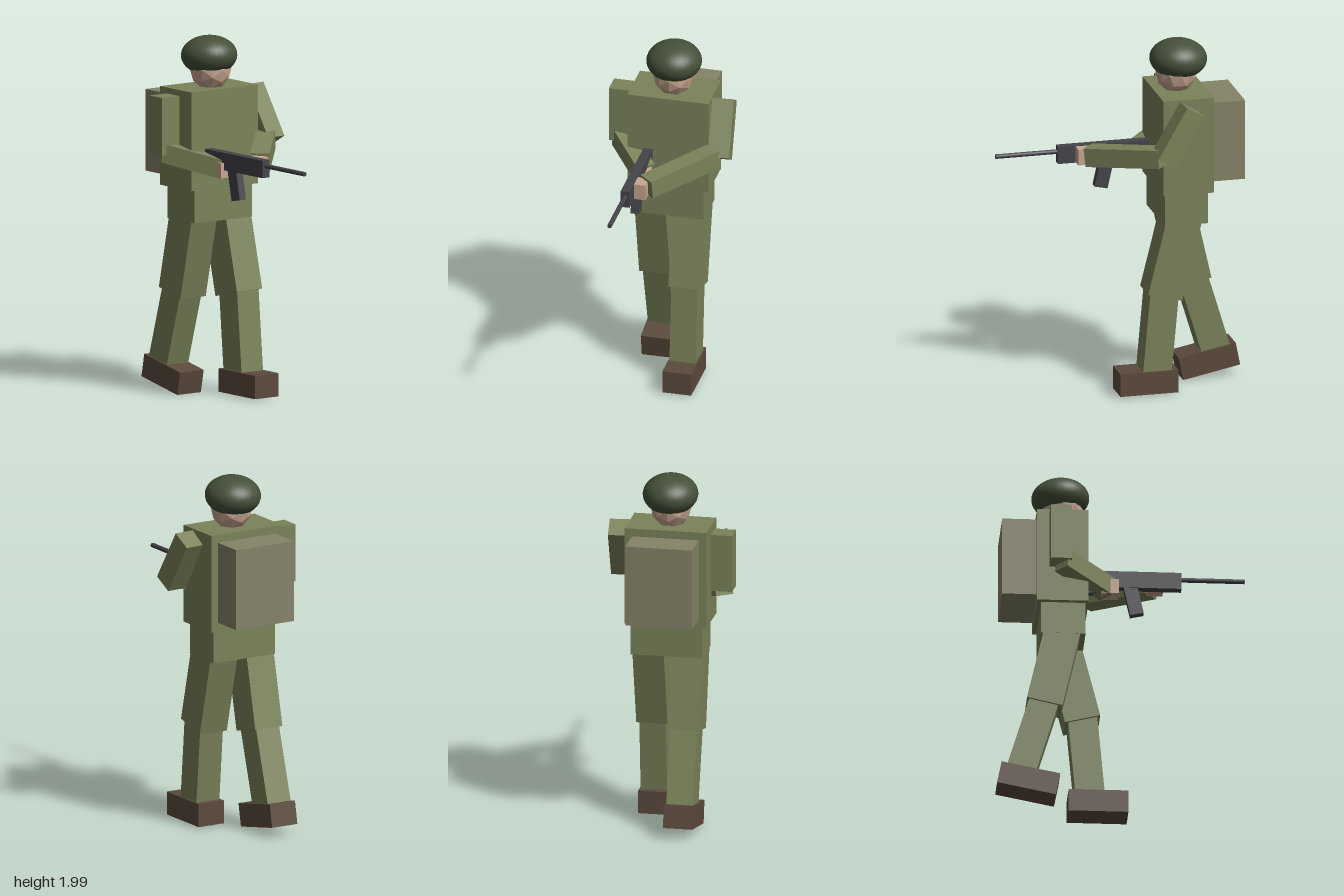
import * as THREE from 'three';

const mat = (color, extra = {}) => new THREE.MeshStandardMaterial({ color, ...extra });

export function createModel() {
  const model = new THREE.Group();
  const cloth = mat(0x7b835a), canvas = mat(0x858368), leather = mat(0x5c4a3d);
  const skin = mat(0xc8a690, { flatShading: true }), metal = mat(0x44444a);
  const shell = mat(0x455039, { side: THREE.DoubleSide });

  const add = (parent, name, geometry, material, pos = [0, 0, 0]) => {
    const mesh = new THREE.Mesh(geometry, material);
    mesh.name = name;
    mesh.position.set(...pos);
    parent.add(mesh);
    return mesh;
  };
  const box = (parent, name, size, pos, material) =>
    add(parent, name, new THREE.BoxGeometry(...size), material, pos);

  // Box running from one joint to another, with its width kept horizontal
  const limb = (parent, name, from, to, width, depth, material) => {
    const a = new THREE.Vector3(...from), b = new THREE.Vector3(...to);
    const y = a.clone().sub(b), length = y.length();
    y.normalize();
    const x = new THREE.Vector3().crossVectors(y, new THREE.Vector3(0, 1, 0)).normalize();
    const z = new THREE.Vector3().crossVectors(x, y);
    const mesh = box(parent, name, [width, length, depth], [0, 0, 0], material);
    mesh.quaternion.setFromRotationMatrix(new THREE.Matrix4().makeBasis(x, y, z));
    mesh.position.copy(a.add(b).multiplyScalar(0.5));
    return mesh;
  };
  const group = (name) => {
    const g = new THREE.Group();
    g.name = name;
    model.add(g);
    return g;
  };

  // Body
  box(model, 'torso', [0.46, 0.55, 0.285], [0, 1.445, -0.325], cloth);
  box(model, 'pelvis', [0.4, 0.19, 0.245], [0, 1.08, -0.32], cloth);
  box(model, 'backpack', [0.375, 0.455, 0.2], [0, 1.448, -0.557], canvas);

  // Head and helmet
  const head = add(model, 'head', new THREE.IcosahedronGeometry(0.12, 1), skin, [0, 1.82, -0.312]);
  head.scale.set(0.97, 1.08, 0.97);
  const helmet = add(model, 'helmet',
    new THREE.SphereGeometry(1, 32, 20, 0, Math.PI * 2, 0, Math.PI * 0.745), shell, [0, 1.89, -0.325]);
  helmet.scale.set(0.153, 0.11, 0.16);
  helmet.rotation.x = -0.05;

  // Legs in mid stride, left forward and right back
  const strides = [
    { name: 'leftLeg', x: 0.11, knee: [0.571, -0.2], ankle: [0.1, -0.156], foot: [0.08, -0.112], tilt: 0 },
    { name: 'rightLeg', x: -0.111, knee: [0.569, -0.423], ankle: [0.14, -0.558], foot: [0.103, -0.511], tilt: 0.195 },
  ];
  for (const { name, x, knee, ankle, foot, tilt } of strides) {
    const leg = group(name);
    limb(leg, 'thigh', [x, 1.04, -0.317], [x, ...knee], 0.176, 0.2, cloth);
    limb(leg, 'shin', [x, knee[0] + 0.02, knee[1]], [x, ...ankle], 0.149, 0.163, cloth);
    box(leg, 'boot', [0.164, 0.13, 0.33], [x, ...foot], leather).rotation.x = tilt;
  }

  // Left arm reaching across to support the barrel end
  const leftArm = group('leftArm');
  limb(leftArm, 'upperArm', [0.284, 1.68, -0.333], [0.299, 1.4, -0.164], 0.12, 0.12, cloth);
  limb(leftArm, 'forearm', [0.27, 1.412, -0.165], [-0.03, 1.357, 0.175], 0.106, 0.105, cloth);
  box(leftArm, 'hand', [0.075, 0.09, 0.09], [-0.058, 1.35, 0.192], skin);

  // Right arm holding the grip
  const rightArm = group('rightArm');
  box(rightArm, 'upperArm', [0.12, 0.323, 0.118], [-0.3, 1.528, -0.341], cloth);
  limb(rightArm, 'forearm', [-0.3, 1.378, -0.33], [-0.1, 1.302, -0.07], 0.106, 0.105, cloth);
  box(rightArm, 'hand', [0.092, 0.085, 0.098], [-0.112, 1.298, -0.06], skin);

  // Rifle
  const rifle = group('rifle');
  box(rifle, 'receiver', [0.051, 0.097, 0.52], [-0.112, 1.349, 0.075], metal);
  box(rifle, 'stock', [0.045, 0.1, 0.09], [-0.112, 1.315, -0.175], metal);
  limb(rifle, 'magazine', [-0.112, 1.33, 0.049], [-0.112, 1.143, 0.09], 0.044, 0.076, metal);
  add(rifle, 'barrel', new THREE.CylinderGeometry(0.013, 0.013, 0.37, 12), metal, [-0.112, 1.365, 0.5])
    .rotation.x = Math.PI / 2;

  return model;
}
